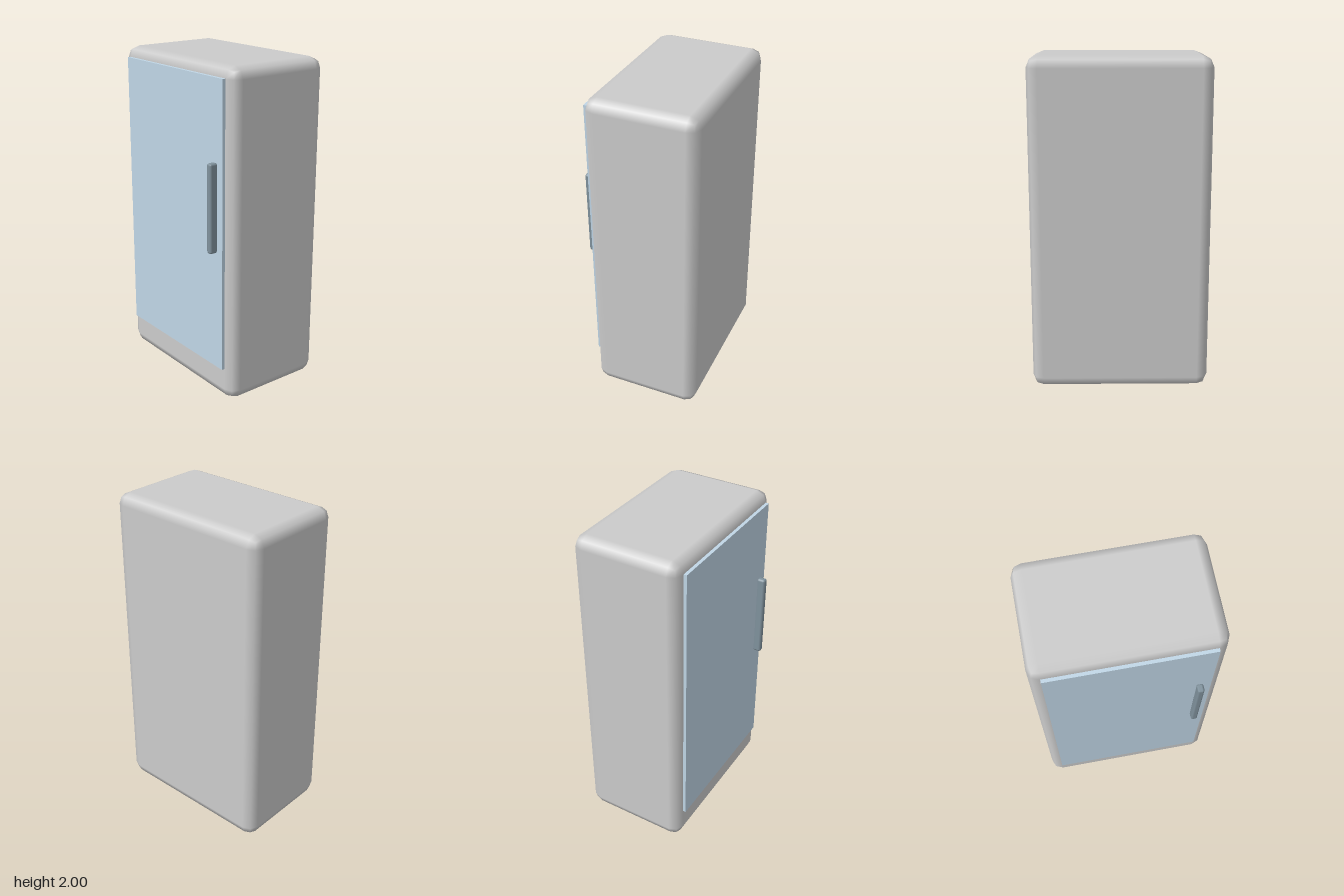
import * as THREE from 'three';
import { RoundedBoxGeometry } from 'three/addons/geometries/RoundedBoxGeometry.js';

export function createModel() {
  const group = new THREE.Group();

  const addPart = (name, geometry, color, x, y, z) => {
    const mesh = new THREE.Mesh(geometry, new THREE.MeshStandardMaterial({ color }));
    mesh.name = name;
    mesh.position.set(x, y, z);
    group.add(mesh);
  };

  // Cabinet with softly bevelled edges
  addPart('cabinet', new RoundedBoxGeometry(1.067, 2, 0.667, 1, 0.067), 0xcccccc, 0, 1, -0.033);

  // Thin flat door, lying on the front face above the plinth
  addPart('door', new THREE.BoxGeometry(0.933, 1.733, 0.02), 0xc0d6e6, 0, 1.07, 0.309);

  // Vertical handle, slightly sunk into the door
  addPart('handle', new RoundedBoxGeometry(0.04, 0.533, 0.053, 1, 0.013), 0x80929d, 0.4, 1.2, 0.34);

  return group;
}
